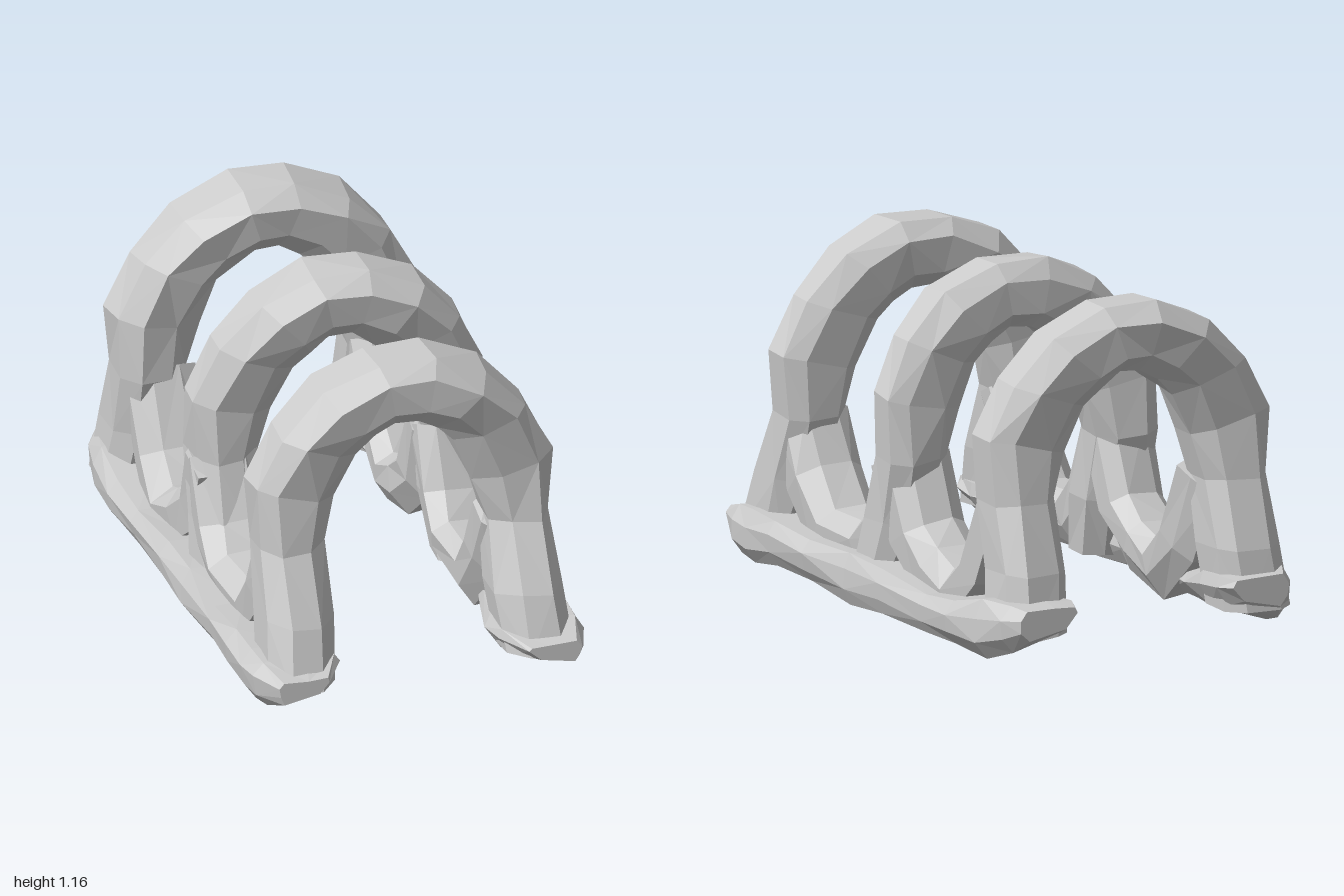
import * as THREE from 'three';

const material = new THREE.MeshStandardMaterial({ color: 0xcccccc, flatShading: true });

// Seeded noise for the rough, hand-hewn facets
function seeded(seed) {
  return () => {
    seed = (seed * 16807) % 2147483647;
    return seed / 2147483647 - 0.5;
  };
}

// Skin a list of equal-length rings of [x, y, z], closing both ends
function loft(name, rings) {
  const n = rings[0].length;
  const tris = [];
  for (let i = 0; i < rings.length - 1; i++) {
    for (let j = 0; j < n; j++) {
      const k = (j + 1) % n;
      const [a, b, c, d] = [rings[i][j], rings[i][k], rings[i + 1][k], rings[i + 1][j]];
      if ((i + j) % 2) tris.push([a, b, c], [a, c, d]);
      else tris.push([a, b, d], [b, c, d]);
    }
  }
  const last = rings[rings.length - 1];
  for (let j = 1; j < n - 1; j++) {
    tris.push([rings[0][0], rings[0][j + 1], rings[0][j]], [last[0], last[j], last[j + 1]]);
  }
  // Signed volume tells whether the skin faces outward
  let volume = 0;
  for (const [a, b, c] of tris) {
    volume += a[0] * (b[1] * c[2] - b[2] * c[1]) + a[1] * (b[2] * c[0] - b[0] * c[2]) + a[2] * (b[0] * c[1] - b[1] * c[0]);
  }
  if (volume < 0) tris.forEach((t) => t.reverse());
  const geometry = new THREE.BufferGeometry();
  geometry.setAttribute('position', new THREE.Float32BufferAttribute(tris.flat(2), 3));
  geometry.computeVertexNormals();
  const mesh = new THREE.Mesh(geometry, material);
  mesh.name = name;
  return mesh;
}

// Half arch, foot to crown: outer x, y and inner x, y
const HALF_ARCH = [
  [0.55, 0.08, 0.3, 0.09],
  [0.53, 0.3, 0.28, 0.29],
  [0.525, 0.52, 0.285, 0.52],
  [0.54, 0.74, 0.24, 0.67],
  [0.445, 0.92, 0.17, 0.82],
  [0.3, 1.07, 0.11, 0.88],
  [0.1, 1.15, 0.04, 0.92],
];

// Arch section: fraction across from outer to inner, and fraction through the depth
const ARCH_SECTION = [
  [0, 0.2], [0.02, 0.72], [0.25, 1], [0.7, 0.97],
  [1, 0.7], [1, 0.25], [0.75, 0.03], [0.25, 0],
];

// spans: back and front z at each of the seven stations
function arch(name, spans, widthScale, shift, seed) {
  const noise = seeded(seed);
  const stations = HALF_ARCH.map((s, i) => [...s, ...spans[i]]);
  const other = stations.map(([ox, oy, ix, iy, b, f]) => [-ox, oy, -ix, iy, b, f]).reverse();
  const rings = [...stations, ...other].map(([ox, oy, ix, iy, back, front]) =>
    ARCH_SECTION.map(([t, d]) => [
      ox * widthScale + (ix - ox * widthScale) * t + shift + noise() * 0.015,
      oy + (iy - oy) * t + noise() * 0.015,
      back + (front - back) * d + noise() * 0.015,
    ]));
  return loft(name, rings);
}

// Rail section: fraction from outer to inner side, and fraction of the height
const RAIL_SECTION = [
  [0.02, 0.3], [0, 0.7], [0.12, 1], [0.6, 1],
  [0.95, 0.95], [1, 0.75], [0.82, 0.32], [0.15, 0],
];

// Rail stations: z, outer x, inner x, bottom y, top y
const RAIL_STATIONS = [
  [1, 0.53, 0.35, 0.075, 0.15],
  [0.88, 0.58, 0.28, 0.02, 0.18],
  [0.78, 0.585, 0.265, 0, 0.185],
  [0.62, 0.585, 0.3, 0.025, 0.18],
  [0.4, 0.575, 0.36, 0.02, 0.165],
  [0.12, 0.575, 0.35, 0, 0.175],
  [-0.1, 0.575, 0.36, 0.02, 0.17],
  [-0.4, 0.575, 0.36, 0.02, 0.15],
  [-0.6, 0.585, 0.32, 0.02, 0.17],
  [-0.8, 0.59, 0.28, 0.015, 0.215],
  [-0.93, 0.56, 0.28, 0.05, 0.22],
  [-1, 0.52, 0.31, 0.1, 0.21],
];

function rail(name, side, backEnd, seed) {
  const noise = seeded(seed);
  const rings = RAIL_STATIONS.map(([z, outer, inner, low, high]) =>
    RAIL_SECTION.map(([u, v]) => [
      side * (outer + (inner - outer) * u + noise() * 0.012),
      Math.max(0, low + (high - low) * v + noise() * 0.01),
      z < -0.7 ? z * backEnd : z,
    ]));
  return loft(name, rings);
}

// Sagging inner strands that join neighbouring legs: z, y along the centre line
const FRONT_STRAND = [[0.68, 0.52], [0.58, 0.33], [0.45, 0.185], [0.2, 0.19], [0.09, 0.3], [0, 0.52]];
const BACK_STRAND = [[-0.03, 0.52], [-0.13, 0.29], [-0.26, 0.2], [-0.41, 0.15], [-0.54, 0.27], [-0.67, 0.52]];

// Strand section: x, and offset across the path
const STRAND_SECTION = [
  [0.28, -0.04], [0.275, 0.04], [0.33, 0.08], [0.44, 0.07],
  [0.5, 0.01], [0.49, -0.1], [0.33, -0.12],
];

function strand(name, side, path, seed) {
  const noise = seeded(seed);
  const rings = path.map(([z, y], i) => {
    const before = path[Math.max(0, i - 1)];
    const after = path[Math.min(path.length - 1, i + 1)];
    const dz = after[0] - before[0];
    const dy = after[1] - before[1];
    const length = Math.hypot(dz, dy);
    return STRAND_SECTION.map(([x, offset]) => [
      side * (x + noise() * 0.015),
      y - (dz / length) * offset + noise() * 0.015,
      z + (dy / length) * offset + noise() * 0.015,
    ]);
  });
  return loft(name, rings);
}

export function createModel() {
  const model = new THREE.Group();
  model.name = 'archedFrame';

  // Long ground rails
  model.add(rail('leftRail', 1, 1, 71), rail('rightRail', -1, 0.95, 523));

  // Inner strands between the legs
  for (const [label, side] of [['left', 1], ['right', -1]]) {
    model.add(
      strand(`${label}FrontStrand`, side, FRONT_STRAND, 311 + side),
      strand(`${label}BackStrand`, side, BACK_STRAND, 907 + side),
    );
  }

  // Three arches with splayed feet
  model.add(
    arch('frontArch', [[0.7, 0.985], [0.63, 0.92], [0.57, 0.81], [0.575, 0.79], [0.565, 0.81], [0.55, 0.83], [0.55, 0.83]], 0.97, 0, 1009),
    arch('middleArch', [[-0.01, 0.22], [-0.08, 0.16], [-0.14, 0.09], [-0.125, 0.08], [-0.12, 0.11], [-0.125, 0.14], [-0.13, 0.14]], 0.95, 0.01, 2203),
    arch('backArch', [[-0.95, -0.68], [-0.92, -0.63], [-0.84, -0.58], [-0.81, -0.585], [-0.83, -0.57], [-0.85, -0.56], [-0.855, -0.55]], 0.98, -0.015, 4801),
  );
  return model;
}
